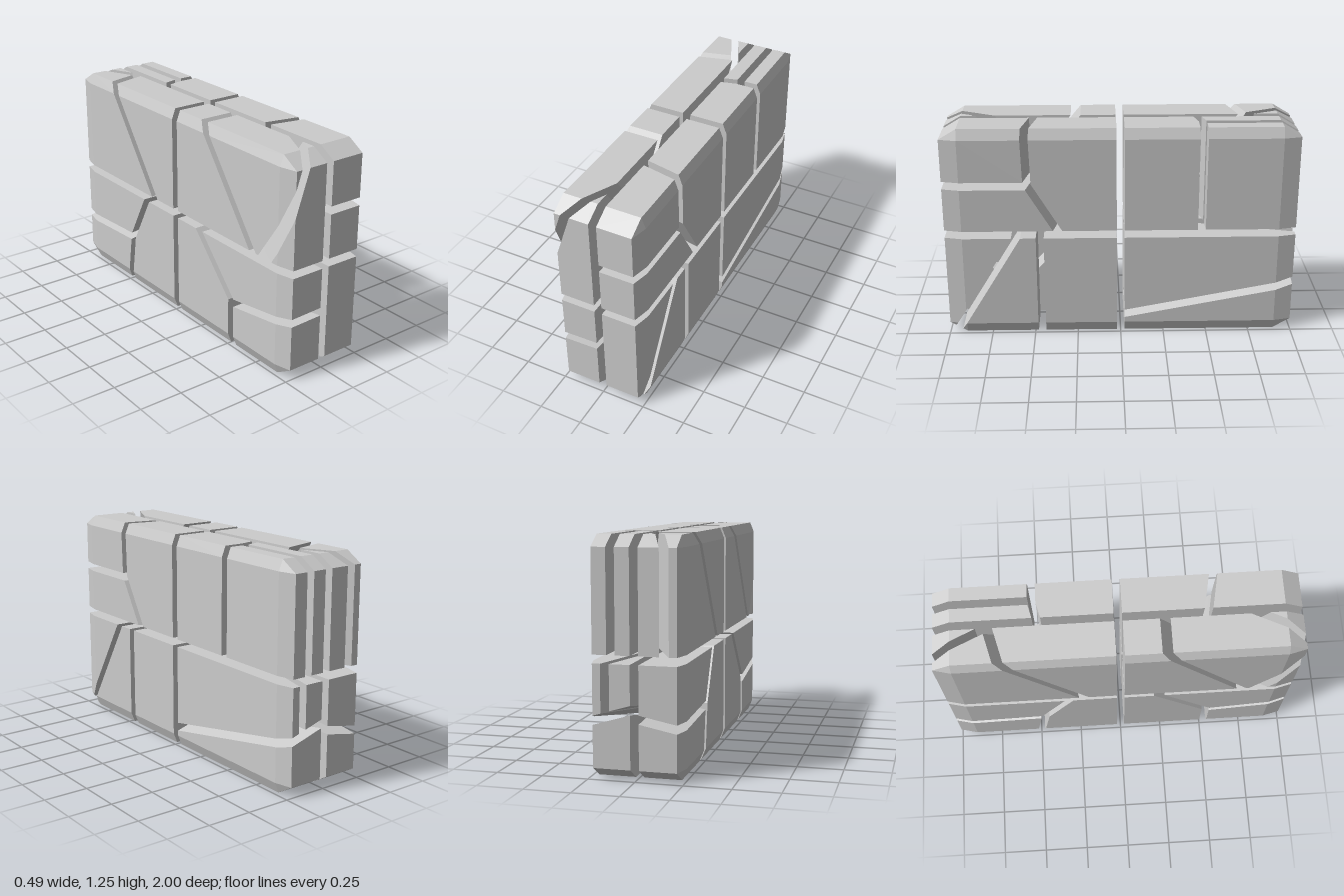
import * as THREE from 'three';
import { ConvexGeometry } from 'three/addons/geometries/ConvexGeometry.js';

const GAP = 0.0225;                       // half the width of every crack
const HALF = [0.245, 0.6225, 1];          // half size of the whole block
const CHAMFER = [0.024, 0.06, 0.1];       // edge chamfer along each axis
const MID = 0.6225;                       // height of the block's centre

// Half-space n.p <= d, through point p
function plane(n, p) {
  const v = new THREE.Vector3(...n).normalize();
  return { n: v, d: v.dot(new THREE.Vector3(...p)) };
}
// The two sides of a crack, each pulled back by half the gap
const under = (c) => ({ n: c.n, d: c.d - GAP });
const over = (c) => ({ n: c.n.clone().negate(), d: -c.d - GAP });

// Outer planes of one eighth of the chamfered block
function octant(sx, sy, sz) {
  const s = [sx, sy, sz], c = [0, MID, 0];
  const at = (k) => HALF.map((h, i) => c[i] + s[i] * (h - CHAMFER[i] * k[i]));
  const out = [];
  for (const k of [[1, 0, 0], [0, 1, 0], [0, 0, 1]]) {
    const n = s.map((v, i) => v * k[i]);
    out.push(plane(n, at([0, 0, 0])), over(plane(n, c)));
  }
  // edge chamfers, then the corner triangle
  for (const [k, p] of [[[1, 1, 0], [1, 0, 0]], [[1, 0, 1], [1, 0, 0]],
    [[0, 1, 1], [0, 1, 0]], [[1, 1, 1], [1, 1, 0]]]) {
    out.push(plane(s.map((v, i) => v * k[i] / CHAMFER[i]), at(p)));
  }
  return out;
}

// Corner points of the solid bounded by the planes
function corners(planes) {
  const pts = [], N = planes.length;
  for (let i = 0; i < N; i++) for (let j = i + 1; j < N; j++) for (let k = j + 1; k < N; k++) {
    const [a, b, c] = [planes[i], planes[j], planes[k]];
    const bc = b.n.clone().cross(c.n), det = a.n.dot(bc);
    if (Math.abs(det) < 1e-6) continue;
    const p = bc.multiplyScalar(a.d)
      .addScaledVector(c.n.clone().cross(a.n), b.d)
      .addScaledVector(a.n.clone().cross(b.n), c.d).divideScalar(det);
    if (planes.every((q) => q.n.dot(p) <= q.d + 1e-6) &&
        pts.every((q) => q.distanceTo(p) > 1e-4)) pts.push(p);
  }
  return pts;
}

export function createModel() {
  const group = new THREE.Group();
  group.name = 'crackedStoneBlock';
  const material = new THREE.MeshStandardMaterial({ color: 0xcccccc, flatShading: true });

  function eighth(name, signs, stones) {
    const part = new THREE.Group();
    part.name = name;
    const outer = octant(...signs);
    for (const [stone, cuts] of Object.entries(stones)) {
      const pts = corners([...outer, ...cuts]);
      if (pts.length < 4) continue;
      const mesh = new THREE.Mesh(new ConvexGeometry(pts), material);
      mesh.name = stone;
      part.add(mesh);
    }
    group.add(part);
  }

  // Left top front: upright, slanted and level cracks
  let a = plane([-0.2, -0.03, 1], [0.245, 1.245, 0.533]);
  let b = plane([-0.2, -0.6, 1], [0.245, 0.65, 0.36]);
  let c = plane([0, 1, 0], [0, 0.917, 0]);
  eighth('leftTopFront', [1, 1, 1], {
    innerStone: [under(a), under(b)],
    upperFrontStone: [over(a), over(c)],
    lowerFrontStone: [over(b), under(c)],
  });

  // Left top back: cross crack, then a lengthwise crack behind it
  a = plane([0, 0, 1], [0, 0, -0.46]);
  b = plane([0.25, 0, 1], [0.12, 0, -0.463]);
  c = plane([1, 0, 0], [0.122, 0, 0]);
  eighth('leftTopBack', [1, 1, -1], {
    innerStone: [over(a), over(b)],
    outerBackStone: [under(a), over(c)],
    innerBackStone: [under(b), under(c)],
  });

  // Left bottom front: upright crack and a long diagonal
  a = plane([0, 0, 1], [0, 0, 0.46]);
  b = plane([0, 0.61, 1], [0, 0.6, 0.597]);
  eighth('leftBottomFront', [1, -1, 1], {
    innerStone: [under(a)],
    wedgeStone: [over(a), under(b)],
    frontStone: [over(a), over(b)],
  });

  // Left bottom back: shallow rising crack, lengthwise crack above it
  a = plane([0.3, 1, 0.19], [0.245, 0.115, -0.02]);
  b = plane([1, 0, 0.25], [0.155, 0, -1]);
  eighth('leftBottomBack', [1, -1, -1], {
    baseStone: [under(a)],
    outerStone: [over(a), over(b)],
    innerStone: [over(a), under(b)],
  });

  // Right top front: diagonal crack and a sliced front corner
  a = plane([0, 0.75, 1], [0, 1.245, 0.25]);
  b = plane([1, -0.34, 0.49], [-0.09, 1.245, 0.9]);
  eighth('rightTopFront', [-1, 1, 1], {
    innerStone: [under(a)],
    outerStone: [over(a), under(b)],
    cornerStone: [over(a), over(b)],
  });

  // Right top back: diagonal crack and a wedge at the back
  a = plane([0.26, 0.72, 1], [-0.22, 1.245, -0.65]);
  b = plane([1, 0, -0.455], [-0.155, 0, -1]);
  eighth('rightTopBack', [-1, 1, -1], {
    innerStone: [over(a)],
    outerBackStone: [under(a), under(b)],
    wedgeBackStone: [under(a), over(b)],
  });

  // Right bottom front: three cracks meeting on the side
  a = plane([0, 1, 1.07], [0, 0.35, 0.46]);
  b = plane([-0.03, 1, -0.15], [-0.1, 0.345, 1]);
  c = plane([0, 0, 1], [0, 0, 0.52]);
  eighth('rightBottomFront', [-1, -1, 1], {
    innerStone: [under(a), under(c)],
    upperFrontStone: [over(a), over(b)],
    lowerFrontStone: [over(c), under(b)],
  });

  // Right bottom back: three cracks meeting on the side
  a = plane([0, -0.54, 1], [0, 0.6, -0.3]);
  b = plane([0, -0.15, 1], [0, 0.31, -0.455]);
  c = plane([-0.2, 1, -0.05], [-0.245, 0.28, -0.95]);
  eighth('rightBottomBack', [-1, -1, -1], {
    innerStone: [over(a), over(b)],
    upperBackStone: [under(a), over(c)],
    lowerBackStone: [under(b), under(c)],
  });

  return group;
}
